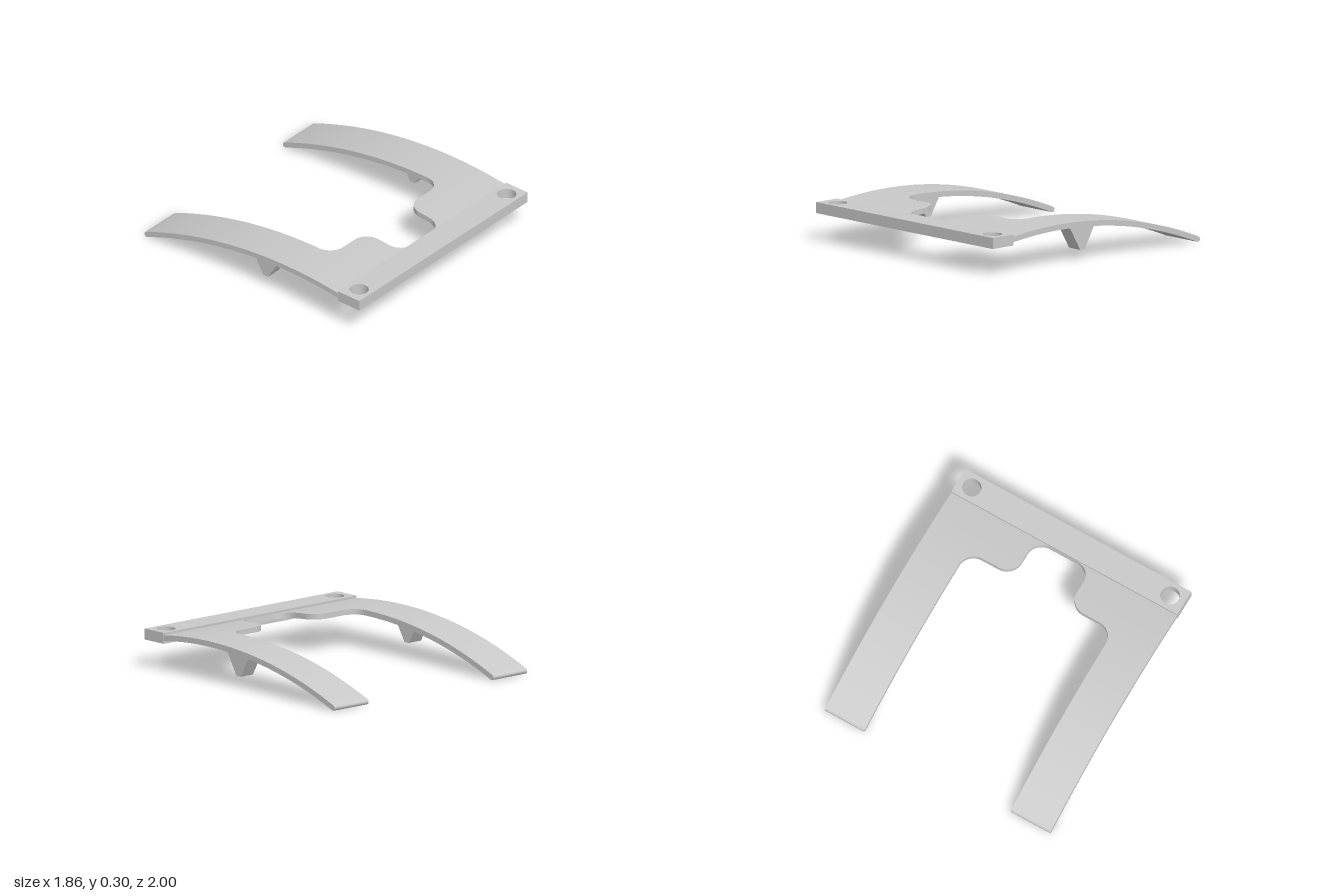
import * as THREE from 'three';
import { toCreasedNormals } from 'three/addons/utils/BufferGeometryUtils.js';

const R = 3.467, CY = -3.19, CZ = 0.33; // arc of the bent plate, mid-surface
const HALF = 0.02, OUTER = 0.928;

// point on the bent plate: x, arc position z, height h off the mid-surface
function bent(x, z, h) {
  const a = Math.asin((z - CZ) / R);
  return [x, CY + (R + h) * Math.cos(a), CZ + (R + h) * Math.sin(a)];
}

// one half of the plate: cross-sections from the inner outline to the outer edge
function plateHalf(side) {
  const rows = [];
  const TIP = -0.98;
  for (let i = 0; i <= 6; i++) { // rounded tip
    const a = (1 - i / 6) * Math.PI / 2;
    rows.push([0.602, TIP - HALF * Math.sin(a), HALF * Math.cos(a)]);
  }
  for (let i = 1; i < 40; i++) rows.push([0.602, TIP + (0.347 - TIP) * i / 40, HALF]);
  const edge = new THREE.Path(); // inner outline with its fillets
  edge.moveTo(0.602, 0.347);
  edge.absarc(0.482, 0.347, 0.12, 0, Math.PI / 2, false);
  edge.absarc(0.348, 0.587, 0.12, -Math.PI / 2, -Math.PI, true);
  edge.absarc(0.108, 0.675, 0.12, 0, Math.PI / 2, false);
  edge.lineTo(0, 0.796);
  edge.lineTo(0, 0.81);
  edge.getPoints(14).forEach(p => rows.push([p.x, p.y, HALF]));

  const rings = rows.map(([x, z, h]) => [
    bent(side * x, z, h), bent(side * OUTER, z, h),
    bent(side * OUTER, z, -h), bent(side * x, z, -h)
  ]);
  const pos = [];
  const quad = (a, b, c, d) => {
    const order = side > 0 ? [a, b, c, a, c, d] : [a, c, b, a, d, c];
    order.forEach(p => pos.push(...p));
  };
  for (let i = 0; i + 1 < rings.length; i++) {
    for (let k = 0; k < 4; k++) {
      const n = (k + 1) % 4;
      quad(rings[i][k], rings[i + 1][k], rings[i + 1][n], rings[i][n]);
    }
  }
  const g = new THREE.BufferGeometry();
  g.setAttribute('position', new THREE.Float32BufferAttribute(pos, 3));
  return toCreasedNormals(g, 0.6);
}

// crossbar with two round through-holes
function barGeometry() {
  const s = new THREE.Shape();
  s.moveTo(-0.93, -1);
  s.lineTo(0.93, -1);
  s.lineTo(0.93, -0.8);
  s.lineTo(-0.93, -0.8);
  s.closePath();
  for (const x of [-0.812, 0.818]) {
    const hole = new THREE.Path();
    hole.absarc(x, -0.9, 0.068, 0, Math.PI * 2, true);
    s.holes.push(hole);
  }
  const g = new THREE.ExtrudeGeometry(s, { depth: 0.08, bevelEnabled: false, curveSegments: 40 });
  g.rotateX(-Math.PI / 2);
  g.translate(0, 0.202, 0);
  return toCreasedNormals(g, 0.5);
}

// tapered peg: side outline drawn as (-z, y), extruded along x
function pegGeometry(bottom) {
  const pts = [[-0.1, bottom], [-0.055, bottom], [0.04, 0.242], [0.04, 0.258], [-0.207, 0.272], [-0.207, 0.255]];
  const s = new THREE.Shape(pts.map(p => new THREE.Vector2(...p)));
  const g = new THREE.ExtrudeGeometry(s, { depth: 0.117, bevelEnabled: false });
  g.translate(0, 0, -0.0585);
  g.rotateY(Math.PI / 2);
  return g;
}

export function createModel() {
  const group = new THREE.Group();
  const grey = new THREE.MeshStandardMaterial({ color: 0xc8c8c8 });
  grey.name = 'lightGrey';
  const add = (name, geometry, x = 0) => {
    const m = new THREE.Mesh(geometry, grey);
    m.name = name;
    m.position.x = x;
    group.add(m);
  };
  add('crossbar', barGeometry());
  add('leftArm', plateHalf(1));
  add('rightArm', plateHalf(-1));
  add('leftPeg', pegGeometry(0.072), 0.81);
  add('rightPeg', pegGeometry(0.082), -0.81);
  return group;
}
